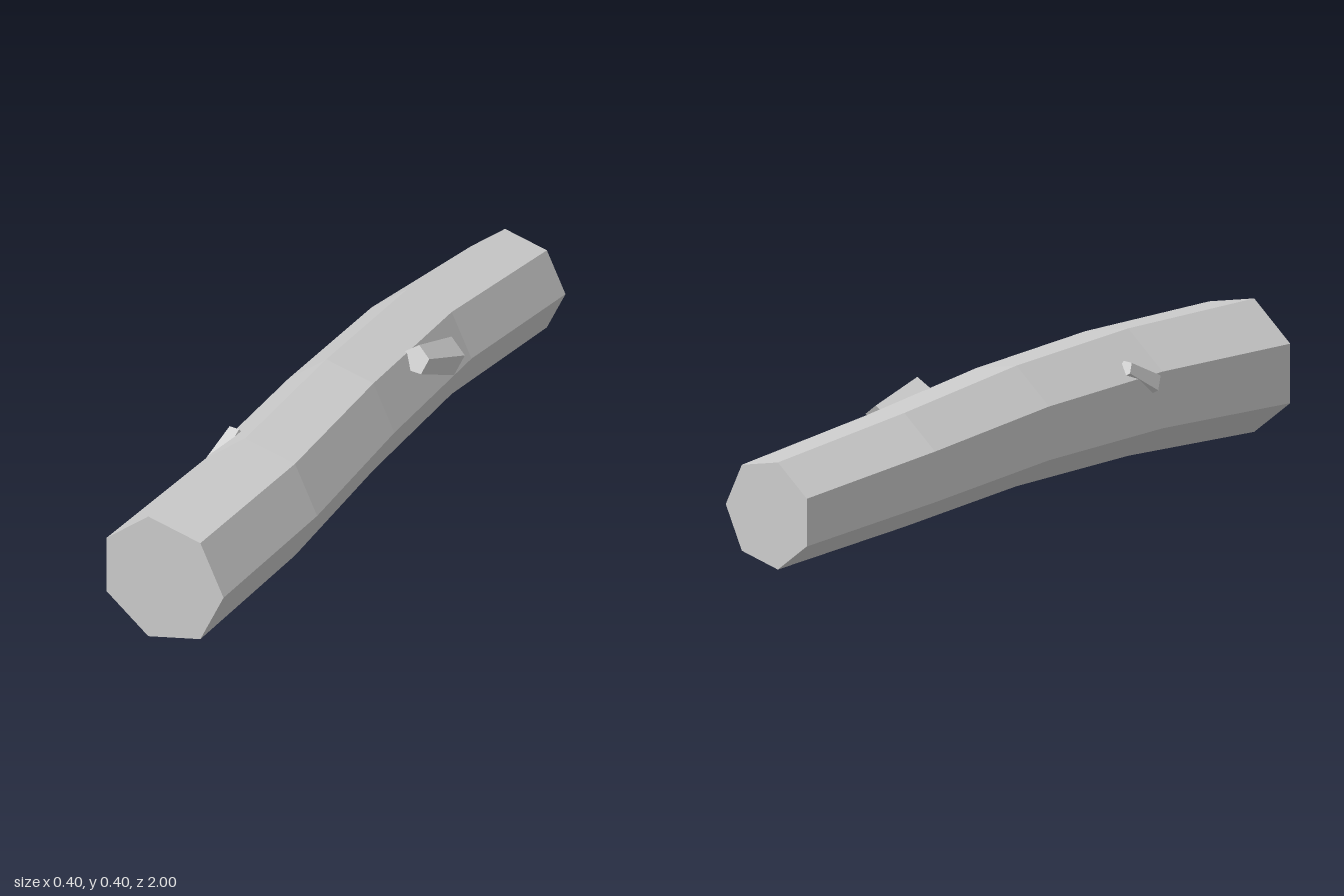
import * as THREE from 'three';

// Cross-sections along the log, front to back: z, centre x, centre y, radius
const SECTIONS = [
  [1, -0.018, 0.195, 0.198],
  [0.5, 0.007, 0.213, 0.189],
  [0, -0.02, 0.22, 0.179],
  [-0.5, -0.047, 0.198, 0.169],
  [-1, -0.02, 0.16, 0.159],
];

// Seven-sided trunk, bent and tapered through the sections
function trunkGeometry() {
  const geo = new THREE.CylinderGeometry(1, 1, 2, 7, 4, false, Math.PI / 2);
  geo.rotateX(Math.PI / 2);
  const pos = geo.attributes.position;
  for (let i = 0; i < pos.count; i++) {
    const [z, cx, cy, r] = SECTIONS[Math.round((1 - pos.getZ(i)) * 2)];
    pos.setXYZ(i, cx + pos.getX(i) * r, cy + pos.getY(i) * r, z);
  }
  geo.computeVertexNormals();
  return geo;
}

// Tapered five-sided branch stub running from base to tip
function stub(name, base, tip, baseRadius, tipRadius, roll, material) {
  const a = new THREE.Vector3(...base);
  const b = new THREE.Vector3(...tip);
  const geo = new THREE.CylinderGeometry(tipRadius, baseRadius, a.distanceTo(b), 5, 1, false, Math.PI + roll);
  geo.rotateX(Math.PI / 2);
  const mesh = new THREE.Mesh(geo, material);
  mesh.name = name;
  mesh.position.copy(a).add(b).multiplyScalar(0.5);
  mesh.lookAt(b);
  return mesh;
}

export function createModel() {
  const group = new THREE.Group();
  group.name = 'log';
  const wood = new THREE.MeshStandardMaterial({ color: 0xcccccc, flatShading: true });
  wood.name = 'paleGreyWood';

  const trunk = new THREE.Mesh(trunkGeometry(), wood);
  trunk.name = 'trunk';
  group.add(trunk);

  // Large stub on the left side, small stub on the right side
  group.add(stub('largeBranchStub', [0.12, 0.272, -0.367], [0.11, 0.337, -0.208], 0.057, 0.043, 0, wood));
  group.add(stub('smallBranchStub', [-0.146, 0.262, 0.47], [-0.137, 0.324, 0.37], 0.038, 0.027, Math.PI / 5, wood));
  return group;
}
